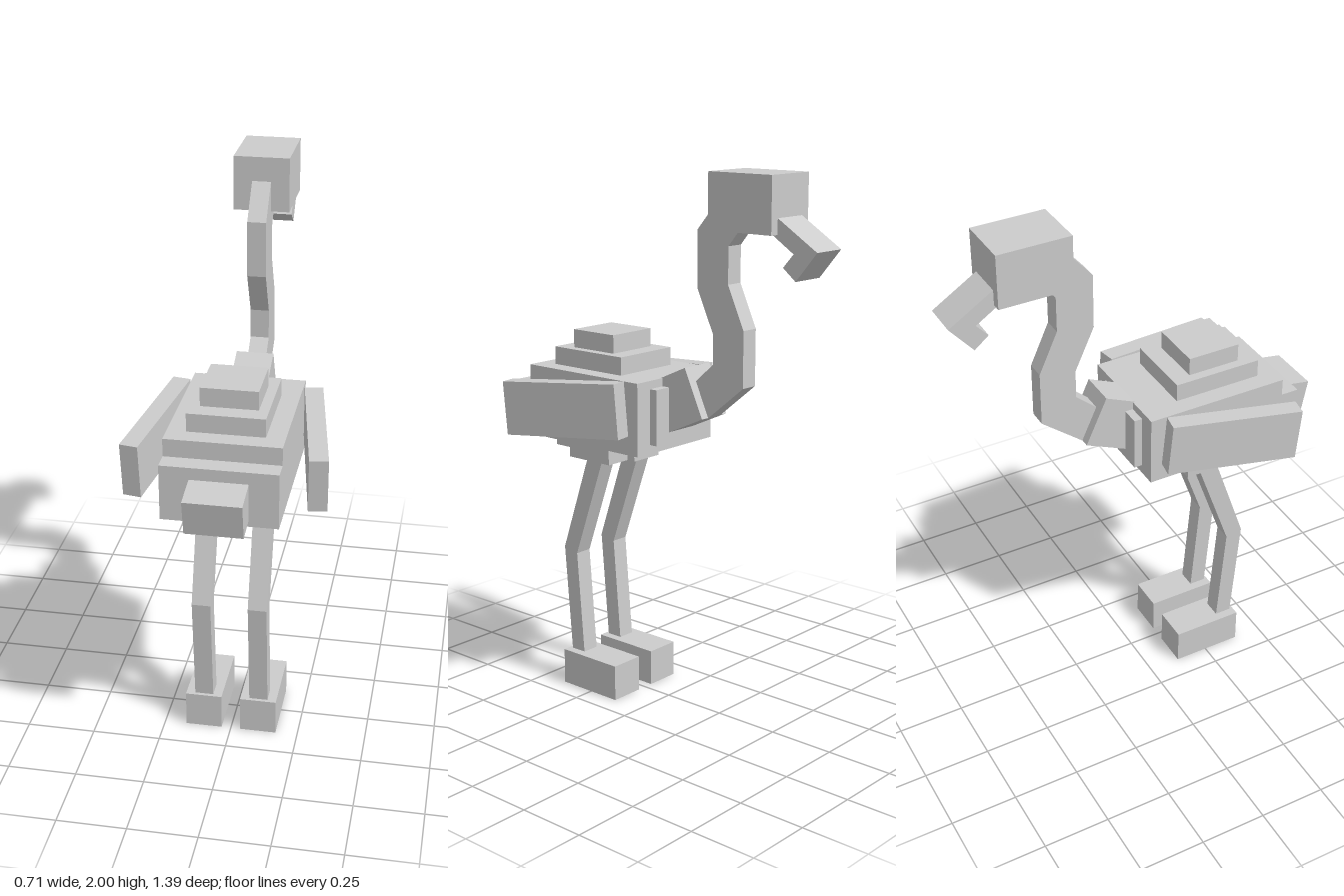
import * as THREE from 'three';

const material = new THREE.MeshStandardMaterial({ color: 0xcccccc, flatShading: true });

function add(parent, name, geometry) {
  const mesh = new THREE.Mesh(geometry, material);
  mesh.name = name;
  parent.add(mesh);
  return mesh;
}

// Box given by its x, y and z ranges
function box(parent, name, [x0, x1], [y0, y1], [z0, z1]) {
  const mesh = add(parent, name, new THREE.BoxGeometry(x1 - x0, y1 - y0, z1 - z0));
  mesh.position.set((x0 + x1) / 2, (y0 + y1) / 2, (z0 + z1) / 2);
  return mesh;
}

// Side outline of [z, y] points, given a thickness across x
function sideProfile(parent, name, points, width, x = 0) {
  const shape = new THREE.Shape(points.map(([z, y]) => new THREE.Vector2(z, y)));
  const geometry = new THREE.ExtrudeGeometry(shape, { depth: width, bevelEnabled: false });
  geometry.translate(0, 0, -width / 2).rotateY(-Math.PI / 2);
  const mesh = add(parent, name, geometry);
  mesh.position.x = x;
  return mesh;
}

const span = (half) => [-half, half];

export function createModel() {
  const bird = new THREE.Group();
  bird.name = 'longLeggedBird';

  // Body with stepped back, belly and breast
  const body = new THREE.Group();
  body.name = 'body';
  bird.add(body);
  box(body, 'torso', span(0.203), [0.987, 1.255], [-0.03, 0.512]);
  box(body, 'rump', span(0.203), [0.987, 1.19], [0.5, 0.58]);
  box(body, 'lowerBackStep', span(0.136), [1.24, 1.322], [0.11, 0.445]);
  box(body, 'upperBackStep', span(0.101), [1.31, 1.39], [0.18, 0.38]);
  box(body, 'bellyLengthwise', span(0.068), [0.92, 1.0], [0.11, 0.515]);
  box(body, 'bellyCrosswise', span(0.168), [0.92, 1.0], [0.145, 0.345]);
  box(body, 'breast', span(0.136), [1.02, 1.225], [-0.06, 0]);

  // Drooping tail
  sideProfile(bird, 'tail', [[0.7, 1.125], [0.5, 1.16], [0.5, 1.026], [0.675, 0.995]], 0.202);

  // Neck root, tilted up and forward
  const root = box(bird, 'neckRoot', span(0.068), [1.08, 1.273], [-0.184, 0.016]);
  root.rotation.x = 0.43;

  // S-curved neck: forward edge up, rear edge back down
  sideProfile(bird, 'neck', [
    [-0.21, 1.125], [-0.37, 1.257], [-0.37, 1.46], [-0.3, 1.613],
    [-0.3, 1.745], [-0.345, 1.8], [-0.4, 1.85],
    [-0.32, 1.96], [-0.262, 1.91], [-0.162, 1.793], [-0.162, 1.59],
    [-0.235, 1.432], [-0.235, 1.325], [-0.135, 1.235],
  ], 0.068);

  // Head and hooked beak
  box(bird, 'head', span(0.101), [1.803, 2.0], [-0.533, -0.264]);
  sideProfile(bird, 'beak', [
    [-0.45, 1.905], [-0.53, 1.86], [-0.695, 1.757], [-0.61, 1.655],
    [-0.558, 1.697], [-0.6, 1.745], [-0.51, 1.803], [-0.44, 1.84],
  ], 0.134);

  // Wings and legs on both sides
  for (const [label, side] of [['left', 1], ['right', -1]]) {
    const wing = add(bird, label + 'Wing', new THREE.BoxGeometry(0.066, 0.2, 0.49));
    wing.position.set(side * 0.28, 1.136, 0.257);
    wing.rotation.set(0.085, side * 0.17, 0, 'YXZ');

    const leg = new THREE.Group();
    leg.name = label + 'Leg';
    bird.add(leg);
    sideProfile(leg, label + 'Shank', [
      [0.268, 0.965], [0.412, 0.545], [0.375, 0.1],
      [0.312, 0.1], [0.347, 0.53], [0.193, 0.965],
    ], 0.068, side * 0.102);
    const foot = box(leg, label + 'Foot', [0.035, 0.169], [0, 0.136], [0.122, 0.391]);
    foot.position.x *= side;
  }
  return bird;
}
